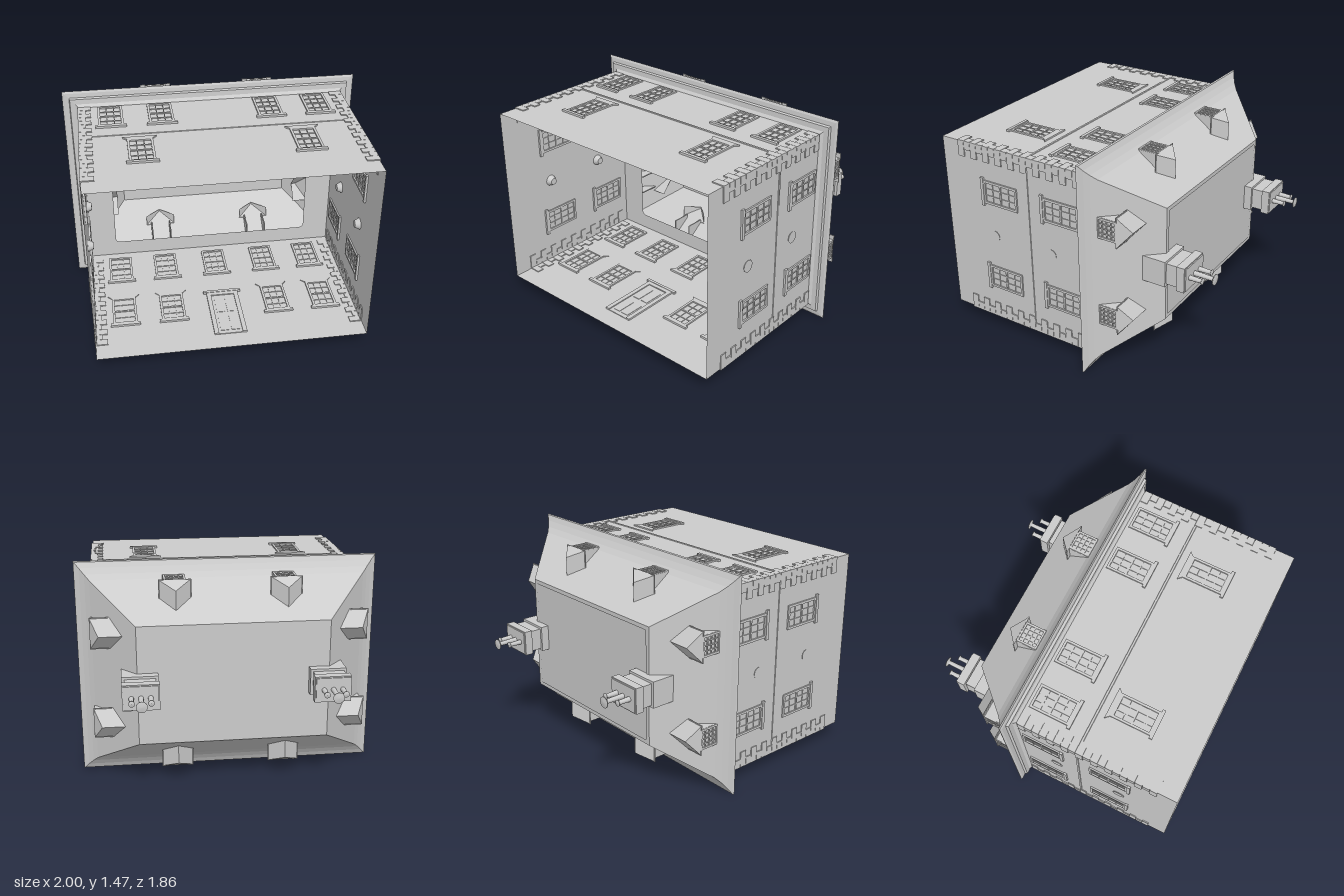
import * as THREE from 'three';

const mat = new THREE.MeshStandardMaterial({ color: 0xcccccc, side: THREE.DoubleSide });
const WX = 0.895, WZ = 0.63; // half sizes of the walls

function add(parent, name, geo, x = 0, y = 0, z = 0) {
  const m = new THREE.Mesh(geo, mat);
  m.name = name;
  m.position.set(x, y, z);
  parent.add(m);
  return m;
}
const box = (parent, name, w, h, d, x, y, z) => add(parent, name, new THREE.BoxGeometry(w, h, d), x, y, z);

// Flat-shaded faces from a few points and triangle indices
function faces(points, index) {
  const g = new THREE.BufferGeometry();
  g.setAttribute('position', new THREE.Float32BufferAttribute(points.flat(), 3));
  g.setIndex(index);
  const flat = g.toNonIndexed();
  flat.computeVertexNormals();
  return flat;
}

// Rectangular rings [halfX, halfZ, y] joined by mitred sides
function rectLoft(rings, capped) {
  const pts = [], idx = [];
  for (const [x, z, y] of rings) pts.push([-x, y, z], [x, y, z], [x, y, -z], [-x, y, -z]);
  for (let r = 0; r < rings.length - 1; r++) {
    for (let i = 0; i < 4; i++) {
      const a = r * 4 + i, b = r * 4 + (i + 1) % 4;
      idx.push(a, b, b + 4, a, b + 4, a + 4);
    }
  }
  const t = (rings.length - 1) * 4;
  if (capped) idx.push(t, t + 1, t + 2, t, t + 2, t + 3);
  return faces(pts, idx);
}

function roundedRect(P, x, z, r) {
  const p = new P();
  p.moveTo(-x + r, -z);
  p.lineTo(x - r, -z); p.quadraticCurveTo(x, -z, x, -z + r);
  p.lineTo(x, z - r); p.quadraticCurveTo(x, z, x - r, z);
  p.lineTo(-x + r, z); p.quadraticCurveTo(-x, z, -x, z - r);
  p.lineTo(-x, -z + r); p.quadraticCurveTo(-x, -z, -x + r, -z);
  return p;
}

// Group whose local +z points out of one side: 0 back, 1 left, 2 front, 3 right
function onSide(house, name, side, u, y, dist) {
  const pivot = new THREE.Group();
  pivot.rotation.y = side * Math.PI / 2;
  const g = new THREE.Group();
  g.name = name;
  g.position.set(u, y, dist);
  pivot.add(g);
  house.add(pivot);
  return g;
}

// Sash window straddling the wall, with sill and optional flared lintel
function sashWindow(house, side, u, y, lintel) {
  const g = onSide(house, 'window', side, u, y, side % 2 ? WX : WZ);
  const w = 0.165, h = 0.27;
  for (const s of [-1, 1]) {
    box(g, 'windowJamb', 0.016, h, 0.02, s * (w / 2 - 0.008), 0, 0);
    box(g, 'windowRail', w, 0.016, 0.02, 0, s * (h / 2 - 0.008), 0);
    box(g, 'windowBar', 0.006, h, 0.01, s * 0.024, 0, 0);
    box(g, 'windowBar', w, 0.006, 0.01, 0, s * 0.065, 0);
  }
  box(g, 'meetingRail', w, 0.012, 0.014, 0, 0, 0);
  box(g, 'windowSill', 0.2, 0.022, 0.028, 0, -h / 2 - 0.008, 0);
  if (lintel) {
    const s = new THREE.Shape([[-0.08, 0], [0.08, 0], [0.108, 0.03], [-0.108, 0.03]].map(p => new THREE.Vector2(...p)));
    add(g, 'windowLintel', new THREE.ExtrudeGeometry(s, { depth: 0.016, bevelEnabled: false }), 0, h / 2, -0.006);
  }
}

// Dormer with glazed front and a small hipped roof running into the main roof
function dormer(house, side, u) {
  const alongX = side % 2 === 1;
  const g = onSide(house, 'dormer', side, u, 0, alongX ? 0.9 : 0.64);
  const back = alongX ? -0.225 : -0.185;
  box(g, 'dormerFront', 0.14, 0.14, 0.012, 0, 0.34, -0.008);
  for (const s of [-1, 1]) {
    box(g, 'dormerCheek', 0.008, 0.14, 0.13, s * 0.068, 0.34, -0.065);
    box(g, 'dormerJamb', 0.014, 0.14, 0.012, s * 0.064, 0.34, 0);
    box(g, 'dormerRail', 0.14, 0.012, 0.012, 0, 0.34 + s * 0.064, 0);
  }
  for (const k of [-1, 0, 1]) {
    box(g, 'dormerBar', 0.007, 0.12, 0.008, k * 0.032, 0.34, 0);
    box(g, 'dormerBar', 0.12, 0.007, 0.008, 0, 0.34 + k * 0.032, 0);
  }
  add(g, 'dormerRoof', faces(
    [[-0.105, 0.41, 0.01], [0.105, 0.41, 0.01], [0, 0.497, -0.045],
      [-0.105, 0.41, back], [0.105, 0.41, back], [0, 0.497, back]],
    [0, 1, 2, 1, 4, 5, 1, 5, 2, 3, 0, 2, 3, 2, 5]));
  for (const s of [-1, 1]) box(g, 'dormerEave', 0.036, 0.006, 0.12, s * 0.087, 0.412, -0.05);
}

// Chimney stack cut to the roof slope, with three pots
function chimney(house, s) {
  const g = new THREE.Group();
  g.name = 'chimney';
  const base = new THREE.Shape([[0.487, 0.585], [0.62, 0.585], [0.72, 0.475], [0.72, 0.64], [0.487, 0.64]]
    .map(([x, y]) => new THREE.Vector2(s * x, y)));
  add(g, 'chimneyBase', new THREE.ExtrudeGeometry(base, { depth: 0.176, bevelEnabled: false }), 0, 0, -0.088);
  box(g, 'chimneyStack', 0.2, 0.08, 0.145, s * 0.604, 0.675, 0);
  box(g, 'chimneyCap', 0.235, 0.055, 0.17, s * 0.604, 0.747, 0);
  box(g, 'chimneyCapTop', 0.22, 0.012, 0.155, s * 0.604, 0.776, 0);
  for (const k of [-1, 0, 1]) {
    const top = k ? 0.875 : 0.93, r = k ? 0.02 : 0.036;
    const pot = [[0.017, 0.77], [0.014, top - 0.02], [0.014, top - 0.012], [r, top - 0.008], [r, top - 0.003], [0, top]];
    add(g, 'chimneyPot', new THREE.LatheGeometry(pot.map(p => new THREE.Vector2(...p)), 14), s * 0.604 + k * 0.06, 0, 0);
  }
  house.add(g);
}

export function createModel() {
  const model = new THREE.Group();
  model.name = 'house';
  // The house is built upright, then laid on its front wall
  const house = new THREE.Group();
  house.name = 'houseShell';
  house.rotation.x = -Math.PI / 2;
  house.position.y = 0.735;
  model.add(house);

  // Open-bottomed walls, and the ceiling ledge with its rounded opening
  add(house, 'walls', rectLoft([[WX, WZ, -0.93], [WX, WZ, 0.2]]));
  const ledge = new THREE.Shape([[-WX, -WZ], [WX, -WZ], [WX, WZ], [-WX, WZ]].map(p => new THREE.Vector2(...p)));
  ledge.holes.push(roundedRect(THREE.Path, 0.71, 0.52, 0.035));
  add(house, 'ceilingLedge', new THREE.ShapeGeometry(ledge).rotateX(-Math.PI / 2), 0, 0.2, 0);

  // Cornice and swept hipped roof with a sunken flat top
  add(house, 'cornice', rectLoft([[WX, WZ, 0.155], [0.915, 0.65, 0.17], [0.95, 0.685, 0.172],
    [0.955, 0.69, 0.19], [0.985, 0.72, 0.193], [1, 0.735, 0.2]]));
  add(house, 'roof', rectLoft([[1, 0.735, 0.2], [0.995, 0.73, 0.21], [0.965, 0.695, 0.227], [0.932, 0.658, 0.252],
    [0.9, 0.625, 0.282], [0.62, 0.4, 0.59], [0.59, 0.372, 0.59]]));
  add(house, 'roofFlat', new THREE.ShapeGeometry(roundedRect(THREE.Shape, 0.62, 0.4, 0.01)).rotateX(-Math.PI / 2), 0, 0.583, 0);

  // Windows of both storeys
  const lower = -0.475, upper = 0;
  for (const s of [-1, 1]) {
    for (const u of [0.36, 0.69]) {
      sashWindow(house, 0, s * u, upper, false);
      sashWindow(house, 2, s * u, upper, false);
      sashWindow(house, 2, s * u, lower, true);
    }
    sashWindow(house, 0, s * 0.52, lower, true);
    for (const side of [1, 3]) {
      sashWindow(house, side, s * 0.315, upper, false);
      sashWindow(house, side, s * 0.315, lower, false);
      dormer(house, side, s * 0.31);
    }
    for (const side of [0, 2]) dormer(house, side, s * 0.36);
    chimney(house, s);

    // Round recessed vents on the end walls
    for (const y of [-0.55, -0.09]) {
      const vent = add(house, 'roundVent', new THREE.CylinderGeometry(0.042, 0.024, 0.04, 12), s * 0.88, y, 0);
      vent.rotation.z = -s * Math.PI / 2;
    }
  }
  sashWindow(house, 2, 0, upper, false);

  // Front door with surround, panels and hood
  const door = onSide(house, 'frontDoor', 2, 0, -0.58, WZ);
  box(door, 'doorLeaf', 0.16, 0.4, 0.01, 0, -0.02, 0);
  for (const s of [-1, 1]) {
    box(door, 'doorJamb', 0.03, 0.43, 0.024, s * 0.095, -0.005, 0);
    for (const y of [-0.12, 0.07]) box(door, 'doorPanel', 0.055, 0.14, 0.016, s * 0.037, y, 0);
  }
  box(door, 'doorHead', 0.22, 0.03, 0.024, 0, 0.195, 0);
  box(door, 'doorHood', 0.26, 0.02, 0.03, 0, 0.22, 0);

  // Alternating corner quoins
  for (const sx of [-1, 1]) for (const sz of [-1, 1]) {
    for (let i = 0; i < 19; i++) {
      const y = -0.775 + i * 0.05, lx = i % 2 ? 0.05 : 0.085, lz = i % 2 ? 0.06 : 0.11;
      box(house, 'quoin', lx, 0.048, 0.014, sx * (WX + 0.006 - lx / 2), y, sz * WZ);
      box(house, 'quoin', 0.014, 0.048, lz, sx * WX, y, sz * (WZ + 0.006 - lz / 2));
    }
  }

  // Slim string course between the storeys
  add(house, 'stringCourse', rectLoft([[WX, WZ, -0.265], [WX + 0.004, WZ + 0.004, -0.263],
    [WX + 0.004, WZ + 0.004, -0.25], [WX, WZ, -0.248]]));
  return model;
}
